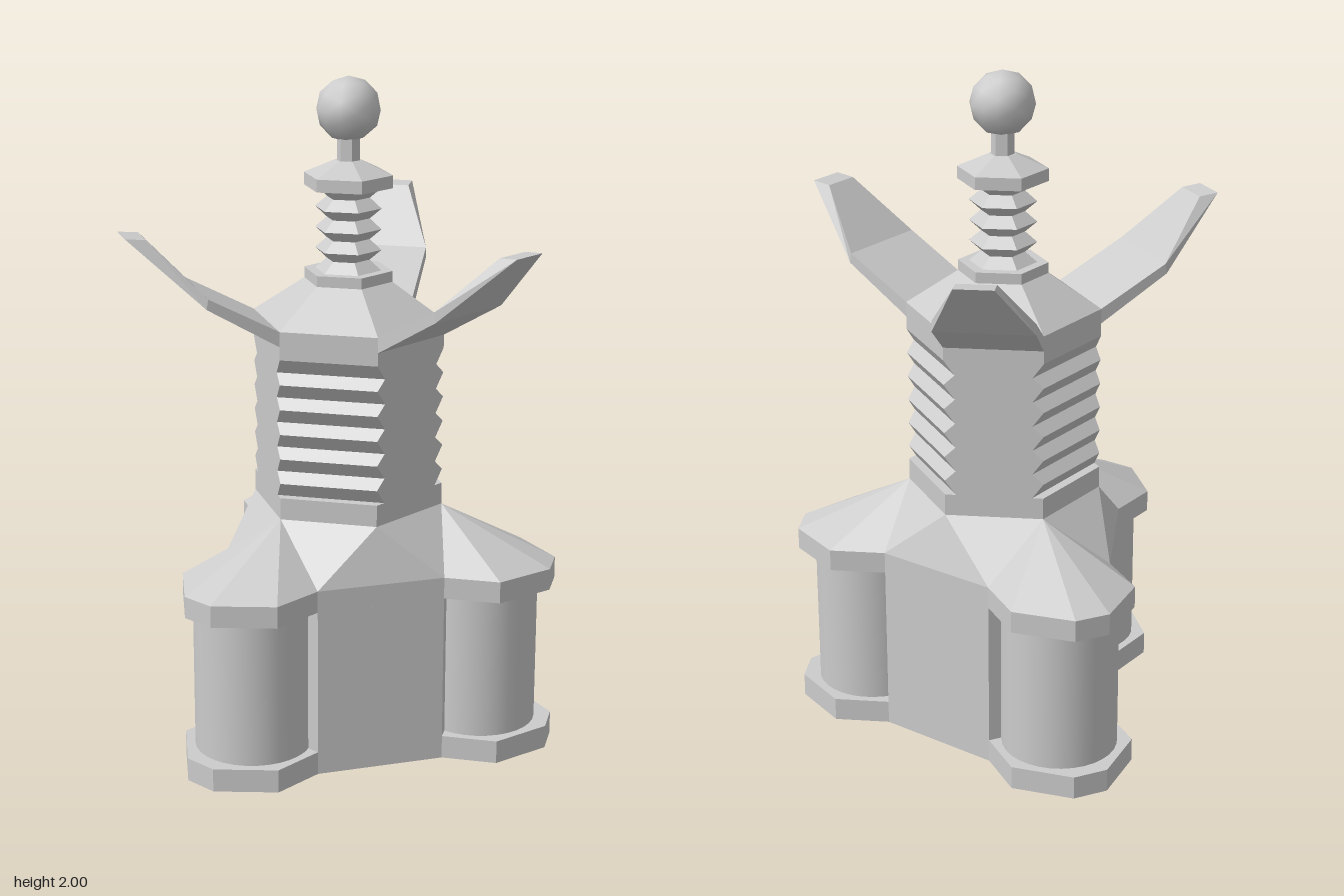
import * as THREE from 'three';

const THIRD = Math.PI * 2 / 3, SIXTH = Math.PI / 3;
const flat = () => new THREE.MeshStandardMaterial({ color: 0xcccccc, flatShading: true });
const smooth = () => new THREE.MeshStandardMaterial({ color: 0xcccccc });

// turn a plan point [x, z] about the central axis
const turn = ([x, z], a) => [
  x * Math.cos(a) - z * Math.sin(a),
  x * Math.sin(a) + z * Math.cos(a),
];
const at = (plan, y) => plan.map(([x, z]) => [x, y, z]);

function facets(triangles) {
  const g = new THREE.BufferGeometry();
  g.setAttribute('position', new THREE.Float32BufferAttribute(triangles.flat(2), 3));
  g.computeVertexNormals();
  return g;
}

// skin a series of convex rings and close both ends
function loft(rings) {
  const t = [];
  const n = rings[0].length;
  for (let k = 0; k + 1 < rings.length; k++) {
    const lo = rings[k], hi = rings[k + 1];
    for (let i = 0; i < n; i++) {
      const j = (i + 1) % n;
      t.push([lo[j], lo[i], hi[i]], [lo[j], hi[i], hi[j]]);
    }
  }
  const first = rings[0], last = rings[rings.length - 1];
  for (let i = 1; i + 1 < n; i++) {
    t.push([first[0], first[i], first[i + 1]], [last[0], last[i + 1], last[i]]);
  }
  return facets(t);
}

// upright slab from a plan outline
function slab(plan, y0, y1) {
  const shape = new THREE.Shape(plan.map(([x, z]) => new THREE.Vector2(x, z)));
  const g = new THREE.ExtrudeGeometry(shape, { depth: y1 - y0, bevelEnabled: false });
  return g.rotateX(Math.PI / 2).translate(0, y1, 0);
}

const hexagon = (r) => Array.from({ length: 6 }, (_, k) => turn([0, -r], k * SIXTH));

export function createModel() {
  const model = new THREE.Group();
  model.name = 'tower';
  model.position.set(0.05, 0, 0.011);
  const add = (name, geometry, material = flat()) => {
    const mesh = new THREE.Mesh(geometry, material);
    mesh.name = name;
    model.add(mesh);
    return mesh;
  };

  // three-lobed base
  const R = 0.287;
  const lobe = [[-0.195, -0.335], [-0.195, -0.5], [-0.053, -0.625],
    [0.053, -0.625], [0.195, -0.5], [0.195, -0.335]];
  const lobes = [0, 1, 2].map((k) => lobe.map((p) => turn(p, k * THIRD)));
  const outline = lobes.flat();
  add('basePlate', slab(outline, 0, 0.07));
  add('baseCore', slab(lobes.flatMap((l) => [l[0], l[5]]), 0.07, 0.51));
  add('upperPlate', slab(outline, 0.51, 0.575));

  // round column in each lobe
  for (let k = 0; k < 3; k++) {
    const [x, z] = turn([0, -0.408], k * THIRD);
    const g = new THREE.CylinderGeometry(0.172, 0.172, 0.44, 32, 1, true);
    add('column', g.translate(x, 0.29, z), smooth());
  }

  // sloping base roof from the lobes up to the hexagonal tower
  const foot = at(hexagon(R), 0.735);
  const roof = [];
  for (let k = 0; k < 3; k++) {
    const p = at(lobes[k], 0.575);
    const q = at(lobes[(k + 1) % 3], 0.575)[0];
    const a = foot[2 * k], b = foot[2 * k + 1], c = foot[(2 * k + 2) % 6];
    for (let i = 0; i < 5; i++) roof.push([p[i + 1], p[i], a]);
    roof.push([p[5], a, b], [q, p[5], b], [q, b, c]);
  }
  add('baseRoof', facets(roof));

  // tower shaft: louvres cut into every second face
  const shaftRing = (y, inset) => {
    const h = hexagon(R), s = inset / Math.sin(SIXTH) / R;
    return at(h.map((p, k) => {
      const o = h[k % 2 ? k - 1 : k + 1];
      return [p[0] + (o[0] - p[0]) * s, p[1] + (o[1] - p[1]) * s];
    }), y);
  };
  const rings = [shaftRing(0.735, 0), shaftRing(0.8, 0)];
  for (let i = 0; i < 6; i++) {
    const y = 0.8 + i * 0.0745;
    rings.push(shaftRing(y, 0.028), shaftRing(y + 0.044, 0));
  }
  rings.push(shaftRing(1.255, 0));
  add('louvredShaft', loft(rings));

  // tower roof with a short upright rim
  add('towerRoof', loft([
    at(hexagon(R), 1.255), at(hexagon(R), 1.3), at(hexagon(0.132), 1.405),
  ]));

  // raised flaps above the plain faces: [half width, low reach, low y, high reach, high y]
  const sections = [
    [0.1435, 0.248, 1.255, 0.248, 1.3],
    [0.1435, 0.46, 1.38, 0.455, 1.41],
    [0.055, 0.67, 1.577, 0.61, 1.572],
  ];
  const flap = loft(sections.map(([w, d0, y0, d1, y1]) => [
    [w, y1, -d1], [-w, y1, -d1], [-w, y0, -d0], [w, y0, -d0],
  ]));
  for (let k = 0; k < 3; k++) {
    add('flap', flap).rotation.y = -(SIXTH / 2 + k * THIRD);
  }

  // hexagonal finial: collar, bellows, cap and rod
  const turned = (name, profile) => add(name, new THREE.LatheGeometry(
    profile.map(([r, y]) => new THREE.Vector2(r, y)), 6));
  turned('collar', [[0, 1.4], [0.132, 1.4], [0.132, 1.437], [0, 1.437]]);
  const pleats = [];
  for (let i = 0; i <= 8; i++) pleats.push([i % 2 ? 0.064 : 0.099, 1.437 + i * 0.0305]);
  turned('bellows', pleats);
  turned('cap', [[0, 1.681], [0.132, 1.681], [0.132, 1.718], [0.04, 1.758], [0, 1.758]]);
  turned('rod', [[0.034, 1.75], [0.034, 1.84]]);

  // ball on top
  add('ball', new THREE.IcosahedronGeometry(0.095, 1).translate(0, 1.905, 0), smooth());

  const group = new THREE.Group();
  group.add(model);
  return group;
}
